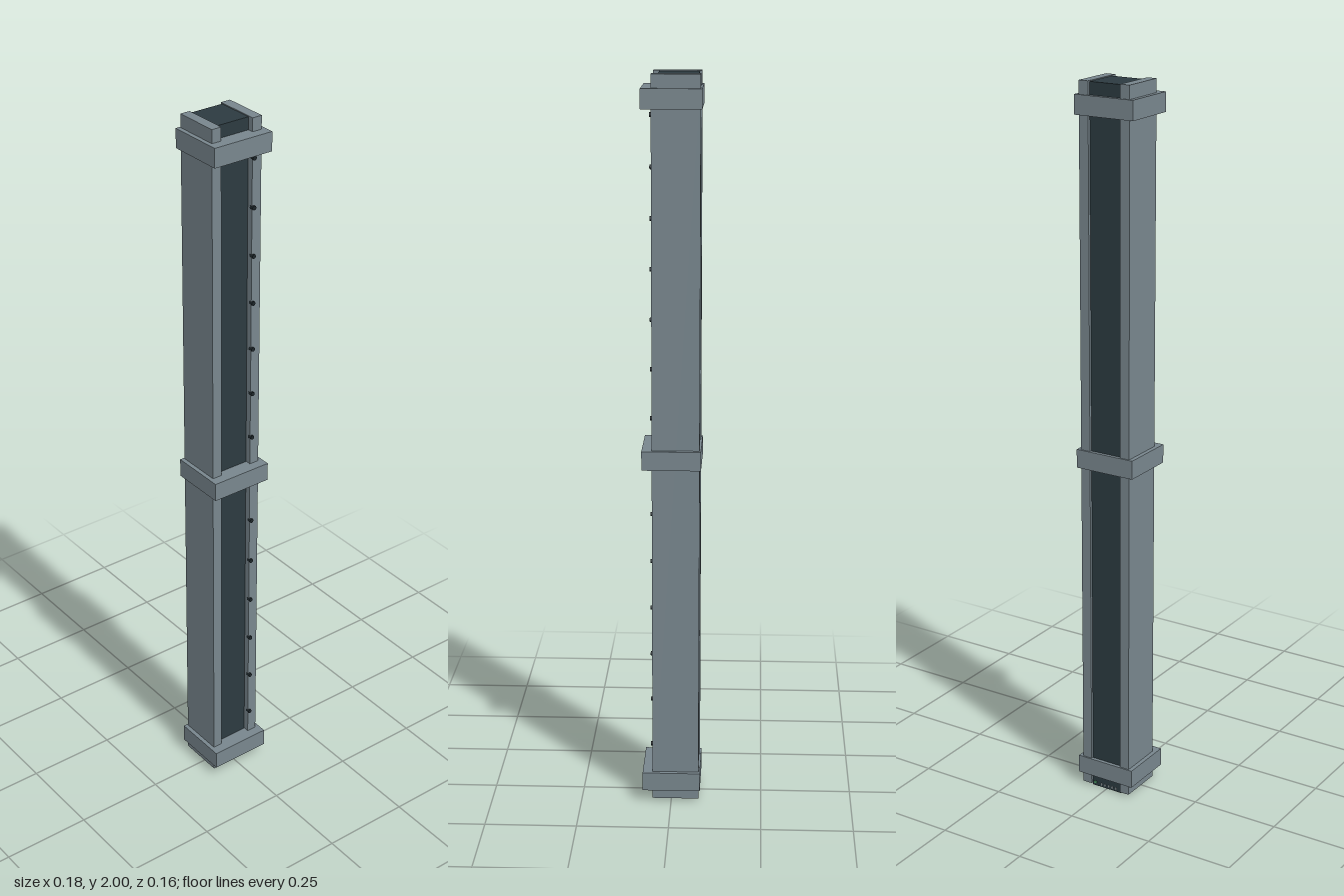
import * as THREE from 'three';

const paint = (name, color) => {
  const m = new THREE.MeshStandardMaterial({ color });
  m.name = name;
  return m;
};

export function createModel() {
  const model = new THREE.Group();
  model.name = 'column';
  const steel = paint('steel grey', 0x78868d);
  const dark = paint('dark slate', 0x2c3a40);
  const black = paint('near black', 0x1c2529);
  const pale = paint('pale grey', 0xa9b3b7);
  const green = paint('green', 0x4f9a6a);

  // box given by its low and high corners
  const box = (name, material, [x0, y0, z0], [x1, y1, z1], parent = model) => {
    const mesh = new THREE.Mesh(new THREE.BoxGeometry(x1 - x0, y1 - y0, z1 - z0), material);
    mesh.position.set((x0 + x1) / 2, (y0 + y1) / 2, (z0 + z1) / 2);
    mesh.name = name;
    parent.add(mesh);
    return mesh;
  };

  // dark core between two side rails
  box('core', dark, [-0.047, 0, -0.07], [0.047, 1.998, 0.036]);
  box('leftRail', steel, [0.048, 0.006, -0.076], [0.076, 2, 0.052]);
  box('rightRail', steel, [-0.076, 0.006, -0.076], [-0.048, 2, 0.052]);

  // three clamping collars
  [['lowerCollar', 0.06], ['middleCollar', 0.985], ['upperCollar', 1.938]].forEach(([name, y]) =>
    box(name, steel, [-0.088, y - 0.026, -0.08], [0.088, y + 0.026, 0.079]));

  // evenly spaced studs on the front of one rail
  const studs = new THREE.Group();
  studs.name = 'railStuds';
  model.add(studs);
  const studShape = new THREE.CylinderGeometry(0.006, 0.006, 0.012, 10).rotateX(Math.PI / 2);
  for (let i = 0; i < 14; i++) {
    const stud = new THREE.Mesh(studShape, black);
    stud.name = 'stud';
    stud.position.set(0.052, 0.16 + i * 0.1335, 0.051);
    studs.add(stud);
  }

  // small indicator and row of contacts at the foot of the back
  box('indicator', green, [0.034, 0.008, -0.073], [0.042, 0.014, -0.069]);
  for (let i = 0; i < 5; i++) {
    const x = 0.018 - i * 0.012;
    box('contact', pale, [x - 0.002, 0.006, -0.072], [x + 0.002, 0.012, -0.069]);
  }
  return model;
}
